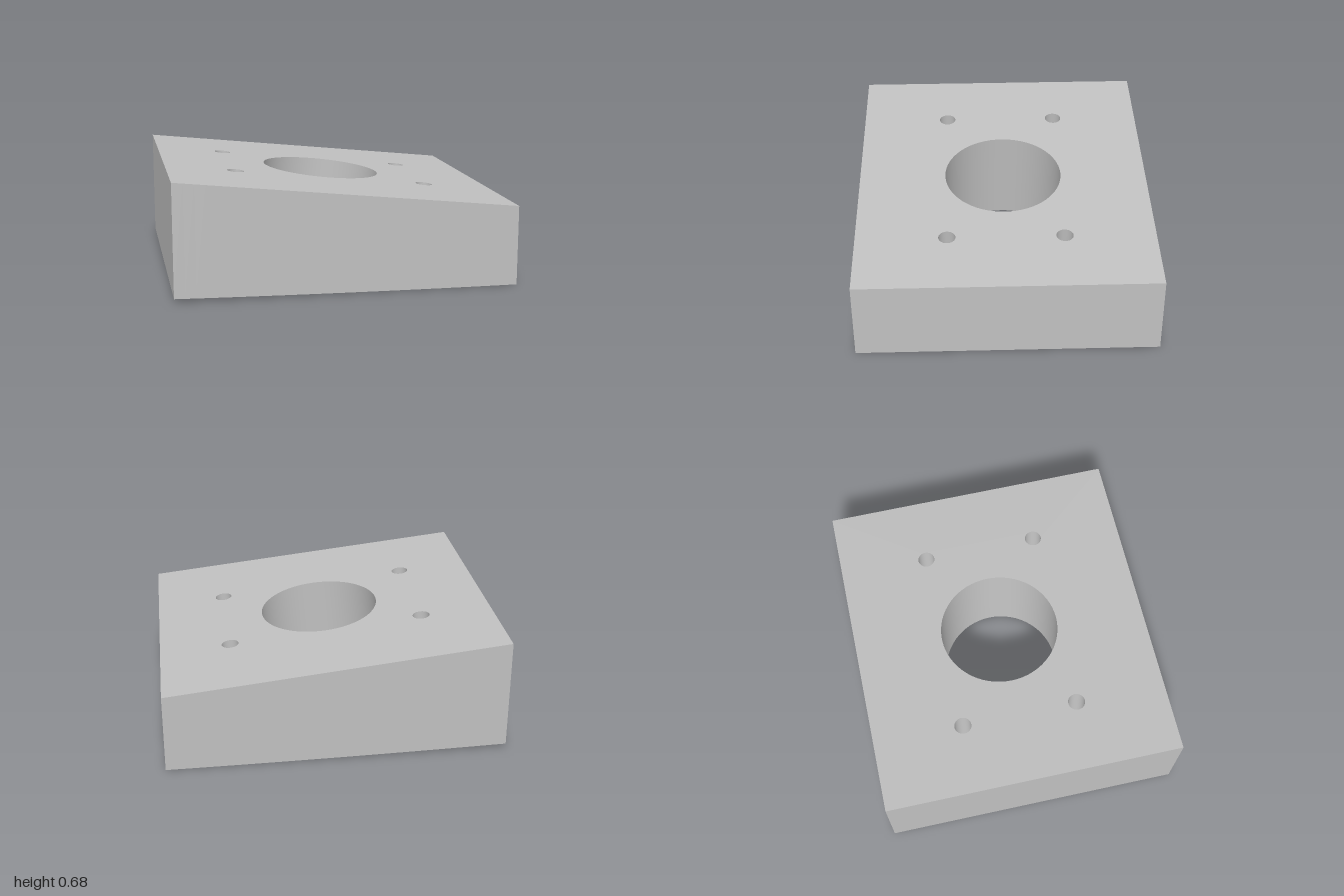
import * as THREE from 'three';

const HALF_DEPTH = 0.89;
const SLOPE = 0.105;
const TILT = Math.atan(SLOPE);
const SEGMENTS = 64;

// Heights of the sloping top and the slightly bowed underside
const topY = (x) => 0.575 - SLOPE * x;
const bottomY = (x) => 0.022 * ((1 - x) / 2) ** 2;
const range = (a, b, n) => Array.from({ length: n + 1 }, (_, i) => a + ((b - a) * i) / n);

// Skin between two rows of points
function loft(a, b, closed = false) {
  const n = a.length;
  const index = [];
  for (let i = 0; i < (closed ? n : n - 1); i++) {
    const j = (i + 1) % n;
    index.push(i, j, n + j, i, n + j, n + i);
  }
  const geometry = new THREE.BufferGeometry().setFromPoints([...a, ...b]);
  geometry.setIndex(index);
  geometry.computeVertexNormals();
  return geometry;
}

// Hole rim lying in the sloping top
function rim(cx, cz, r) {
  return range(0, 2 * Math.PI, SEGMENTS).slice(0, -1).map((t) => {
    const x = cx + r * Math.cos(t) * Math.cos(TILT);
    return new THREE.Vector3(x, topY(x), cz + r * Math.sin(t));
  });
}

// Follow the tilted hole axis down to the underside
function dropToBottom(p) {
  let y = 0;
  for (let i = 0; i < 5; i++) y = bottomY(p.x - SLOPE * (p.y - y));
  return new THREE.Vector3(p.x - SLOPE * (p.y - y), y, p.z);
}

export function createModel() {
  const model = new THREE.Group();
  model.name = 'wedgeBlock';
  const grey = new THREE.MeshStandardMaterial({ color: 0xc0c0c0 });
  grey.name = 'grey';
  const add = (name, geometry) => {
    const mesh = new THREE.Mesh(geometry, grey);
    mesh.name = name;
    model.add(mesh);
  };

  const boreTop = rim(0, 0, 0.36);
  const boreBottom = boreTop.map(dropToBottom);
  const boltRims = [];
  for (const x of [-0.58, 0.58])
    for (const z of [-0.348, 0.348]) boltRims.push(rim(x, z, 0.051));

  // Sloping top face with its five openings
  const outline = new THREE.Shape([[-1, -1], [1, -1], [1, 1], [-1, 1]]
    .map(([x, s]) => new THREE.Vector2(x, s * HALF_DEPTH)));
  outline.holes = [boreTop, ...boltRims]
    .map((ring) => new THREE.Path(ring.map((p) => new THREE.Vector2(p.x, -p.z))));
  const top = new THREE.ShapeGeometry(outline).rotateX(-Math.PI / 2);
  const pos = top.attributes.position;
  for (let i = 0; i < pos.count; i++) pos.setY(i, topY(pos.getX(i)));
  top.computeVertexNormals();
  add('topFace', top);

  // Side walls: rows of x, z along the lower and upper edges
  const wall = (name, xz) => add(name, loft(
    xz.map(([x, z]) => new THREE.Vector3(x, bottomY(x), z)),
    xz.map(([x, z]) => new THREE.Vector3(x, topY(x), z))));
  wall('frontWall', range(-1, 1, 32).map((x) => [x, HALF_DEPTH]));
  wall('backWall', range(1, -1, 32).map((x) => [x, -HALF_DEPTH]));
  wall('leftWall', [[1, HALF_DEPTH], [1, -HALF_DEPTH]]);
  wall('rightWall', [[-1, -HALF_DEPTH], [-1, HALF_DEPTH]]);

  // Underside columns, opening around the bore: x and inner half width
  const half = boreBottom.slice(0, SEGMENTS / 2 + 1).reverse();
  const columns = [
    ...range(-1, half[0].x, 10).slice(0, -1).map((x) => [x, 0]),
    ...half.map((p) => [p.x, Math.max(0, p.z)]),
    ...range(half[half.length - 1].x, 1, 10).slice(1).map((x) => [x, 0]),
  ];
  const edge = (zOf) => columns.map(([x, w]) => new THREE.Vector3(x, bottomY(x), zOf(w)));
  add('undersideBack', loft(edge(() => -HALF_DEPTH), edge((w) => -w)));
  add('undersideFront', loft(edge((w) => w), edge(() => HALF_DEPTH)));

  // Central through bore
  add('boreWall', loft(boreBottom, boreTop, true));

  // Blind bolt holes square to the top
  const down = new THREE.Vector3(-Math.sin(TILT), -Math.cos(TILT), 0).multiplyScalar(0.31);
  for (const ring of boltRims) {
    const floor = ring.map((p) => p.clone().add(down));
    const centre = floor[0].clone().add(floor[SEGMENTS / 2]).multiplyScalar(0.5);
    add('boltHoleWall', loft(floor, ring, true));
    add('boltHoleFloor', loft(floor.map(() => centre), floor, true));
  }
  return model;
}
